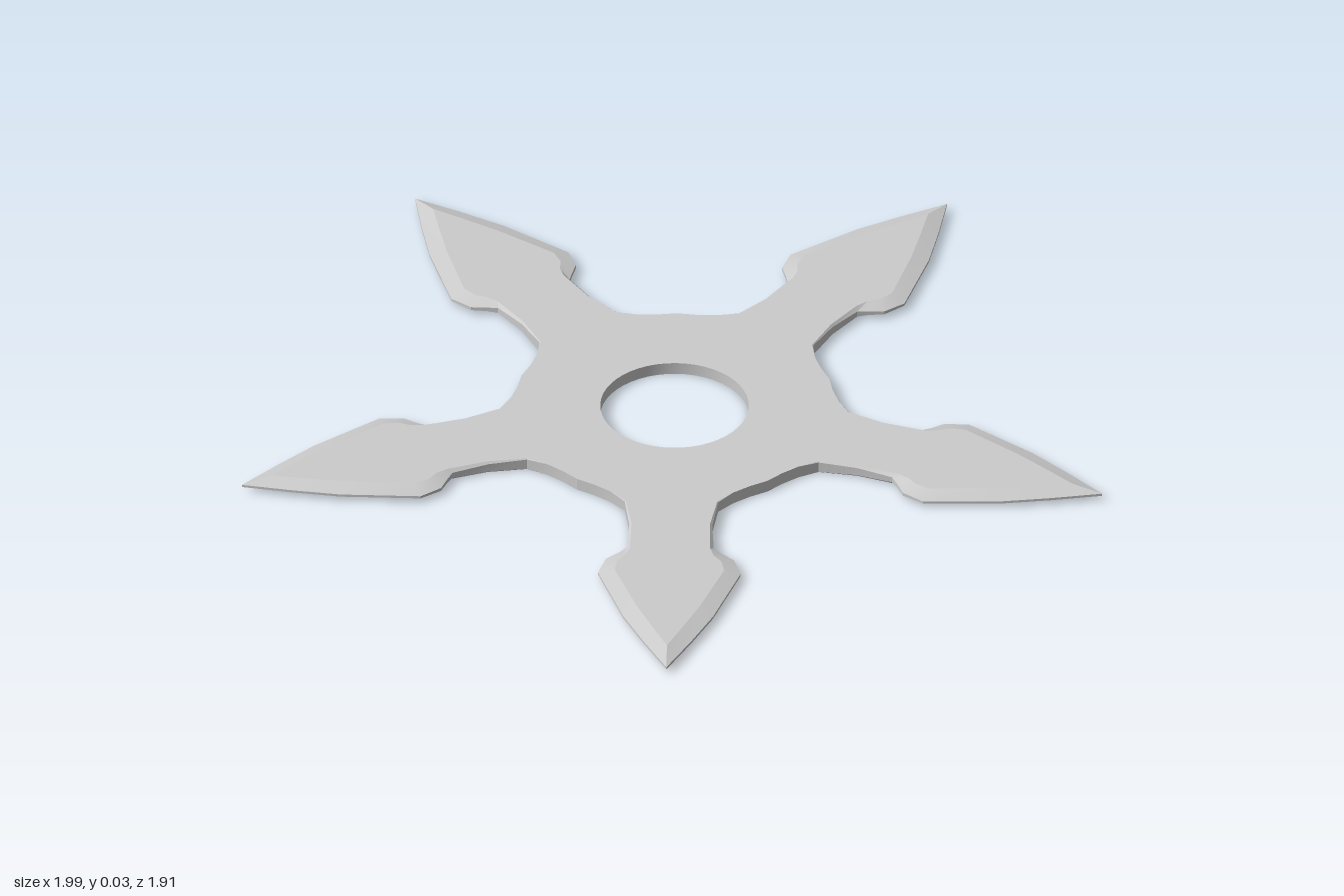
import * as THREE from 'three';
import { mergeGeometries, toCreasedNormals } from 'three/addons/utils/BufferGeometryUtils.js';

const ARMS = 5, TILT = THREE.MathUtils.degToRad(1.1);
const CX = -0.006, CZ = 0.09, THICK = 0.03, HOLE_R = 0.172;

// Half an arm, tip to valley: [edge side, edge radius, face side, face radius, half height of edge]
const PROFILE = [
  [0, 1.047, 0, 0.975, 0.003],
  [0.056, 0.94, 0.035, 0.9, 0.003],
  [0.104, 0.84, 0.073, 0.815, 0.003],
  [0.165, 0.665, 0.127, 0.668, 0.003],
  [0.148, 0.61, 0.12, 0.632, 0.004],
  [0.118, 0.585, 0.102, 0.608, 0.005],
  [0.101, 0.568, 0.093, 0.58, 0.007],
  [0.096, 0.48, 0.091, 0.48, 0.01],
  [0.108, 0.39, 0.106, 0.389, 0.013],
  [0.142, 0.352, 0.142, 0.352, 0.015],
  [0.18, 0.325, 0.18, 0.325, 0.015],
  [0.22, 0.303, 0.22, 0.303, 0.015],
];

// Quads between successive closed rings
function loft(rings) {
  const pos = [];
  for (let k = 0; k < rings.length - 1; k++) {
    const A = rings[k], B = rings[k + 1];
    A.forEach((a, i) => {
      const j = (i + 1) % A.length;
      for (const p of [a, A[j], B[j], a, B[j], B[i]]) pos.push(p.x, p.y, p.z);
    });
  }
  return new THREE.BufferGeometry().setAttribute('position', new THREE.Float32BufferAttribute(pos, 3));
}

// Flat face with the centre hole, facing up (dir 1) or down (dir -1)
function cap(outer, inner, dir) {
  const flat = (ring) => ring.map((p) => new THREE.Vector2(p.x, -dir * p.z));
  const shape = new THREE.Shape(flat(outer));
  shape.holes.push(new THREE.Path(flat(inner)));
  const g = new THREE.ShapeGeometry(shape).rotateX(-dir * Math.PI / 2).translate(0, outer[0].y, 0);
  g.deleteAttribute('uv');
  g.deleteAttribute('normal');
  return g.toNonIndexed();
}

export function createModel() {
  // Rings, upper face down to lower face
  const rings = [[], [], [], []];
  const mid = THICK / 2;
  const left = PROFILE.slice(1, -1).reverse().map(([s, r, fs, fr, h]) => [-s, r, -fs, fr, h]);
  for (let n = 0; n < ARMS; n++) {
    const a = TILT + n * 2 * Math.PI / ARMS, c = Math.cos(a), d = Math.sin(a);
    const at = (s, r, y) => new THREE.Vector3(CX + s * c + r * d, y, CZ + s * d - r * c);
    for (const [s, r, fs, fr, h] of [...left, ...PROFILE]) {
      rings[0].push(at(fs, fr, THICK));
      rings[1].push(at(s, r, mid + h));
      rings[2].push(at(s, r, mid - h));
      rings[3].push(at(fs, fr, 0));
    }
  }

  // Centre hole
  const hole = (y) => Array.from({ length: 48 }, (_, i) => {
    const a = i * Math.PI / 24;
    return new THREE.Vector3(CX + HOLE_R * Math.sin(a), y, CZ - HOLE_R * Math.cos(a));
  });
  const holeTop = hole(THICK), holeBottom = hole(0);

  const geometry = mergeGeometries([
    cap(rings[0], holeTop, 1),
    cap(rings[3], holeBottom, -1),
    loft(rings),
    loft([holeBottom, holeTop]),
  ]);
  const star = new THREE.Mesh(
    toCreasedNormals(geometry, 0.25),
    new THREE.MeshStandardMaterial({ color: 0xcccccc }),
  );
  star.name = 'throwingStar';

  const group = new THREE.Group();
  group.name = 'fivePointedThrowingStar';
  group.add(star);
  return group;
}
